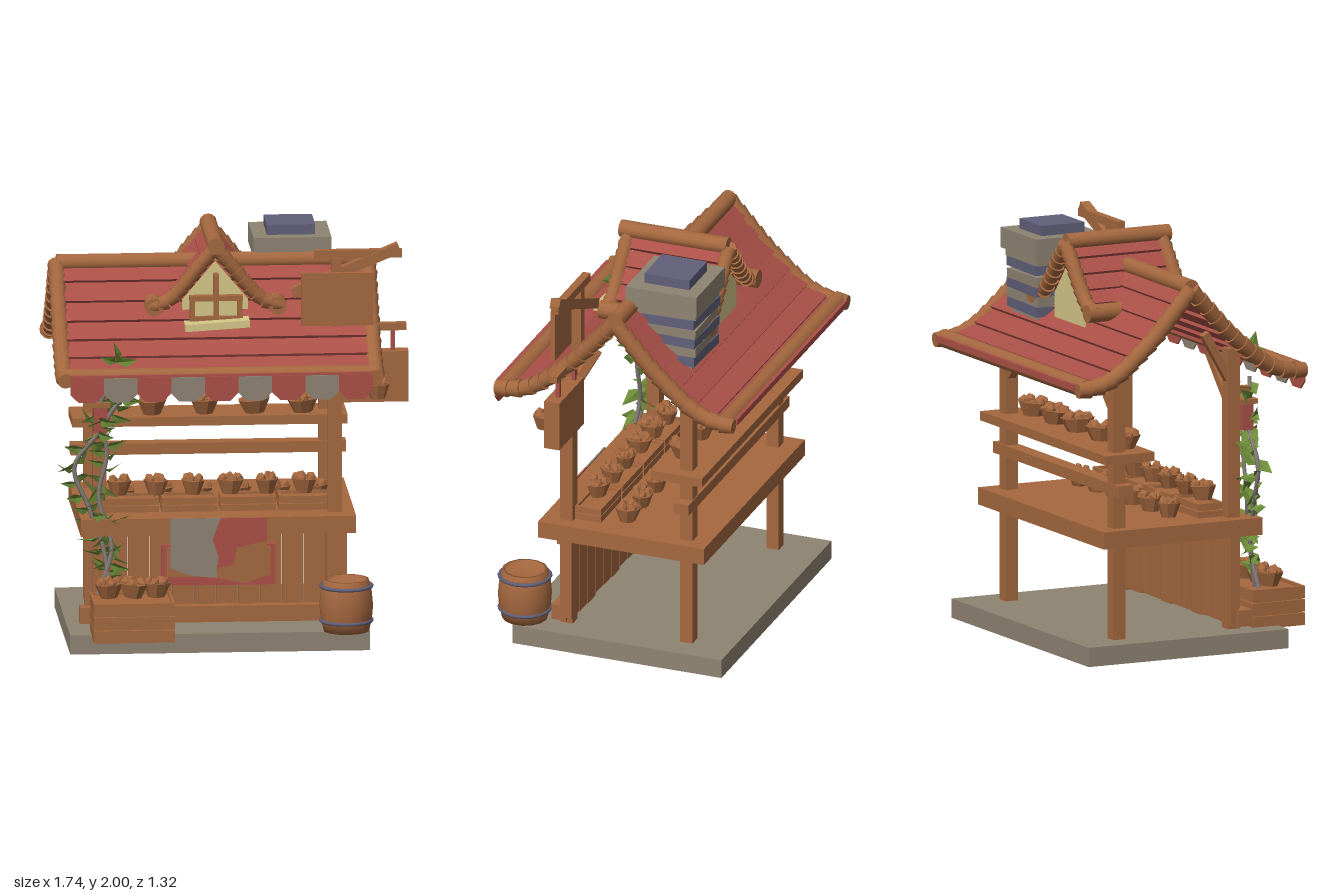
import * as THREE from 'three';

const V = (x, y, z) => new THREE.Vector3(x, y, z);
const CX = -0.07, CZ = -0.035; // middle of the stall

export function createModel() {
  const root = new THREE.Group();
  root.name = 'marketStall';
  const mat = (name, color, extra = {}) => {
    const m = new THREE.MeshStandardMaterial({ color, ...extra });
    m.name = name;
    return m;
  };
  const wood = mat('wood', 0xa5683f), red = mat('roofRed', 0xab5048), stone = mat('stone', 0x8f8473);
  const slate = mat('slate', 0x61607a), pale = mat('paleYellow', 0xd6c888);
  const leafMat = mat('leafGreen', 0x6c8c38, { side: THREE.DoubleSide });
  const stemMat = mat('stemGrey', 0x857b78);

  let seed = 7;
  const rnd = () => (seed = (seed * 16807) % 2147483647) / 2147483647;

  const add = (name, geo, m) => {
    const mesh = new THREE.Mesh(geo, m);
    mesh.name = name;
    root.add(mesh);
    return mesh;
  };
  const box = (name, m, x0, x1, y0, y1, z0, z1) => {
    const b = add(name, new THREE.BoxGeometry(x1 - x0, y1 - y0, z1 - z0), m);
    b.position.set((x0 + x1) / 2, (y0 + y1) / 2, (z0 + z1) / 2);
    return b;
  };
  // Square bar from a to b, w wide and h thick
  const bar = (name, m, a, b, w, h) => {
    const s = add(name, new THREE.BoxGeometry(w, h, a.distanceTo(b)), m);
    s.position.copy(a).lerp(b, 0.5);
    s.lookAt(b);
    return s;
  };
  // Round log from a to b
  const log = (name, m, a, b, r0, r1 = r0) => {
    const s = add(name, new THREE.CylinderGeometry(r1, r0, a.distanceTo(b), 12), m);
    s.position.copy(a).lerp(b, 0.5);
    s.quaternion.setFromUnitVectors(V(0, 1, 0), b.clone().sub(a).normalize());
    return s;
  };
  // Ribbed trim made of short overlapping flared rolls
  const ribbed = (name, curve, n, r) => {
    const p = curve.getSpacedPoints(n);
    for (let i = 0; i < n; i++) log(name, wood, p[i + 1], p[i], r * 0.8, r);
  };
  const plate = (name, m, pts, z, depth = 0.008) => {
    const s = new THREE.Shape(pts.map(([x, y]) => new THREE.Vector2(x, y)));
    const p = add(name, new THREE.ExtrudeGeometry(s, { depth, bevelEnabled: false }), m);
    p.position.z = z;
    return p;
  };

  // Base and posts
  box('base', stone, -0.8, 0.66, 0, 0.095, -0.58, 0.51);
  for (const x of [-0.643, 0.503]) {
    box('frontPost', wood, x - 0.033, x + 0.033, 0.095, 1.48, 0.245, 0.31);
    box('backPost', wood, x - 0.033, x + 0.033, 0.095, 1.48, -0.38, -0.315);
    const s = Math.sign(CX - x);
    for (const z of [0.277, -0.347]) {
      bar('brace', wood, V(x, 1.19, z), V(x + s * 0.22, 1.42, z), 0.04, 0.04);
      bar('rafterBrace', wood, V(x, 1.3, z), V(x, 1.56, z > 0 ? 0.13 : -0.2), 0.04, 0.04);
    }
  }

  // Counter, back shelf and front panelling
  box('counterTop', wood, -0.74, 0.6, 0.56, 0.645, -0.465, 0.4);
  box('backRail', wood, -0.74, 0.6, 0.81, 0.865, -0.385, -0.305);
  box('shelf', wood, -0.74, 0.6, 0.975, 1.02, -0.455, -0.19);
  box('bottomRail', wood, -0.74, 0.56, 0.115, 0.195, 0.27, 0.345);
  for (let i = 0; i < 12; i++) {
    const x = -0.715 + i * 0.107;
    box('panelPlank', wood, x, x + 0.1, 0.12 + (i % 3) * 0.006, 0.56, 0.24, 0.285 + (i % 2) * 0.012);
  }

  // Main roof: curved courses, ribbed gable trim, ridge and eave logs
  const roofPts = [[0, 1.82], [0.1, 1.71], [0.2, 1.6], [0.3, 1.51], [0.4, 1.43], [0.5, 1.385], [0.62, 1.375]];
  for (const s of [1, -1]) {
    const curveAt = x => new THREE.CatmullRomCurve3(roofPts.map(([u, y]) => V(x, y, CZ + s * u)));
    const p = curveAt(CX).getSpacedPoints(7);
    for (let i = 0; i < 7; i++) {
      const low = p[i + 1].clone().add(V(0, 0.012, s * 0.01));
      bar('roofCourse', red, p[i], low, 1.46, 0.03);
    }
    ribbed('gableTrim', curveAt(-0.828), 12, 0.045);
    ribbed('gableTrim', curveAt(0.686), 12, 0.045);
    const z = CZ + s * 0.572;
    log('eaveLog', wood, V(-0.83, 1.38, z), V(0.685, 1.38, z), 0.045);
  }
  log('ridgeLog', wood, V(-0.83, 1.83, CZ), V(-0.14, 1.83, CZ), 0.042);
  log('ridgeLog', wood, V(0, 1.83, CZ), V(0.685, 1.83, CZ), 0.042);

  // Striped valance with clipped corners
  for (let i = 0; i < 9; i++) {
    const x = -0.805 + i * 0.1635, w = 0.1635;
    plate('valance', i % 2 ? stone : red,
      [[x, 1.39], [x, 1.31], [x + 0.04, 1.27], [x + w - 0.04, 1.27], [x + w, 1.31], [x + w, 1.39]], 0.592);
  }

  // Dormer across the ridge
  const dormPts = [[0, 1.94], [0.08, 1.85], [0.16, 1.75], [0.24, 1.675], [0.33, 1.655]];
  for (const s of [1, -1]) {
    const curveAt = z => new THREE.CatmullRomCurve3(dormPts.map(([u, y]) => V(CX + s * u, y, z)));
    const p = curveAt(-0.07).getSpacedPoints(5);
    for (let i = 0; i < 4; i++) bar('dormerCourse', red, p[i], p[i + 1].clone().add(V(0, 0.01, 0)), 0.5, 0.025);
    ribbed('dormerTrim', curveAt(0.19), 9, 0.04);
    ribbed('dormerTrim', curveAt(-0.33), 9, 0.04);
    const x = CX + s * 0.3;
    log('dormerEaveLog', wood, V(x, 1.655, 0.085), V(x, 1.655, 0.22), 0.045);
    log('dormerEaveLog', wood, V(x, 1.655, -0.16), V(x, 1.655, -0.37), 0.045);
  }
  log('dormerRidge', wood, V(CX, 1.957, -0.33), V(CX, 1.957, 0.23), 0.042);
  for (const z of [0.16, -0.31])
    plate('dormerGable', pale, [[-0.23, 1.5], [0.09, 1.5], [0.09, 1.68], [CX, 1.87], [-0.23, 1.68]], z);
  // Dormer window frame and sill
  for (const x of [-0.185, CX, 0.045]) box('windowUpright', wood, x - 0.012, x + 0.012, 1.59, x === CX ? 1.82 : 1.7, 0.2, 0.245);
  for (const y of [1.6, 1.7]) box('windowCrossbar', wood, -0.2, 0.06, y - 0.012, y + 0.012, 0.2, 0.245);
  box('windowPane', pale, -0.185, 0.045, 1.59, 1.7, 0.215, 0.224);
  box('windowSill', pale, -0.225, 0.09, 1.56, 1.595, 0.16, 0.31).rotation.z = 0.06;

  // Chimney of uneven stone layers with a cap
  for (let i = 0; i < 7; i++) {
    const g = 0.145 + rnd() * 0.02;
    box('chimneyStone', i % 2 ? slate : stone, 0.32 - g, 0.32 + g, 1.5 + i * 0.05, 1.548 + i * 0.05, -0.21 - g, -0.21 + g)
      .rotation.set((rnd() - 0.5) * 0.08, (rnd() - 0.5) * 0.1, (rnd() - 0.5) * 0.08);
  }
  box('chimneyCap', stone, 0.13, 0.51, 1.84, 1.94, -0.39, -0.022);
  box('chimneyLid', slate, 0.2, 0.435, 1.94, 1.99, -0.325, -0.09);

  // Roof sign with its beams, and the hanging sign below
  box('roofSign', wood, 0.34, 0.69, 1.57, 1.83, 0.275, 0.3);
  box('roofSignPanel', wood, 0.36, 0.67, 1.59, 1.81, 0.3, 0.306);
  bar('signStrut', wood, V(0.3, 1.72, 0.225), V(0.82, 1.94, 0.225), 0.05, 0.05);
  box('signBeam', wood, 0.41, 0.835, 1.89, 1.93, 0.2, 0.24);
  box('signPost', wood, 0.49, 0.54, 1.5, 1.89, 0.2, 0.25);
  box('hangerBeam', wood, 0.5, 0.855, 1.53, 1.565, 0.2, 0.245);
  for (const x of [0.58, 0.79]) box('signRope', red, x - 0.01, x + 0.01, 1.42, 1.54, 0.21, 0.23);
  box('hangingSign', wood, 0.54, 0.865, 1.18, 1.43, 0.185, 0.265);

  // Bowls heaped with lumps
  const bowlGeo = new THREE.CylinderGeometry(0.085, 0.05, 0.07, 8).toNonIndexed();
  bowlGeo.computeVertexNormals();
  const lumpGeo = new THREE.IcosahedronGeometry(0.032, 0);
  const bowl = (x, y, z, k = 1) => {
    const b = new THREE.Group();
    b.name = 'filledBowl';
    const cup = new THREE.Mesh(bowlGeo, wood);
    cup.name = 'bowl';
    cup.position.y = 0.035;
    b.add(cup);
    for (let i = 0; i < 5; i++) {
      const l = new THREE.Mesh(lumpGeo, wood), a = i * 1.26 + rnd();
      l.name = 'produce';
      l.position.set(Math.cos(a) * 0.048, 0.07, Math.sin(a) * 0.048);
      l.rotation.set(rnd() * 3, rnd() * 3, 0);
      b.add(l);
    }
    b.position.set(x, y, z);
    b.rotation.set(0, rnd() * 3, (rnd() - 0.5) * 0.2);
    b.scale.set(k, 1, k * 0.8);
    root.add(b);
  };
  for (const x of [-0.58, -0.345, -0.09, 0.155, 0.39]) bowl(x, 1.02, -0.275);
  for (let i = 0; i < 6; i++) {
    bowl(-0.54 + i * 0.18, 0.72, 0.18, 0.8);
    bowl(-0.52 + i * 0.19, 0.645, 0, 0.85);
  }
  bowl(0.71, 1.21, 0.32, 0.8);

  // Slatted crates: four on the counter and a planter on the ground
  const crate = (name, x0, x1, y0, y1, z0, z1, rows) => {
    const h = (y1 - y0) / rows, t = 0.015;
    for (let i = 0; i < rows; i++) {
      const a = y0 + i * h, b = a + h - 0.006;
      box(name + 'Slat', wood, x0, x1, a, b, z1 - t, z1);
      box(name + 'Slat', wood, x0, x1, a, b, z0, z0 + t);
      box(name + 'Slat', wood, x0, x0 + t, a, b, z0 + t, z1 - t);
      box(name + 'Slat', wood, x1 - t, x1, a, b, z0 + t, z1 - t);
    }
    box(name + 'Fill', wood, x0 + t, x1 - t, y0, y1 - 0.02, z0 + t, z1 - t);
  };
  for (let i = 0; i < 4; i++) crate('crate', -0.62 + i * 0.285, -0.35 + i * 0.285, 0.645, 0.72, 0.11, 0.25, 2);
  crate('planter', -0.695, -0.3, 0.085, 0.285, 0.37, 0.655, 3);
  for (let i = 0; i < 3; i++) bowl(-0.61 + i * 0.115, 0.28, 0.5, 0.9);

  // Barrel with hoops
  const stave = [[0, 0], [0.112, 0], [0.126, 0.06], [0.132, 0.128], [0.126, 0.195], [0.112, 0.255], [0.098, 0.255], [0.098, 0.235], [0, 0.235]];
  add('barrel', new THREE.LatheGeometry(stave.map(([r, y]) => new THREE.Vector2(r, y)), 14), wood).position.set(0.545, 0.097, 0.49);
  for (const y of [0.15, 0.32]) {
    const hoop = add('barrelHoop', new THREE.TorusGeometry(0.125, 0.009, 6, 20), slate);
    hoop.rotation.x = Math.PI / 2;
    hoop.position.set(0.545, y, 0.49);
  }

  // Red framed board and patched cloth over the counter front
  box('boardFrame', red, -0.345, 0.21, 0.3, 0.5, 0.31, 0.35);
  box('boardFace', wood, -0.32, 0.185, 0.345, 0.49, 0.35, 0.358);
  plate('clothGrey', stone, [[-0.305, 0.645], [-0.305, 0.4], [-0.2, 0.36], [-0.08, 0.35], [-0.07, 0.45], [-0.1, 0.54], [-0.06, 0.645]], 0.405);
  plate('clothRed', red, [[-0.06, 0.645], [-0.1, 0.54], [-0.07, 0.45], [-0.08, 0.4], [0, 0.41], [0.02, 0.5], [0.165, 0.53], [0.165, 0.645]], 0.405);
  plate('clothBrown', wood, [[-0.08, 0.4], [-0.08, 0.35], [0.06, 0.32], [0.165, 0.36], [0.165, 0.53], [0.02, 0.5], [0, 0.41]], 0.405);

  // Small red lantern on the left post
  box('lantern', red, -0.675, -0.61, 1.07, 1.2, 0.325, 0.385);
  box('lanternCap', wood, -0.69, -0.595, 1.2, 1.225, 0.31, 0.4);
  box('lanternArm', wood, -0.66, -0.625, 1.25, 1.285, 0.28, 0.37);

  // Climbing vine: two stems and folded leaves
  const fold = new THREE.BufferGeometry();
  fold.setAttribute('position', new THREE.Float32BufferAttribute(
    [0, 0, 0, 0.028, 0.035, 0.012, 0, 0.045, 0, -0.028, 0.035, 0.012, 0, 0.1, -0.015], 3));
  fold.setIndex([0, 1, 2, 0, 2, 3, 2, 1, 4, 3, 2, 4]);
  const leafGeo = fold.toNonIndexed();
  leafGeo.computeVertexNormals();
  const leaf = (p, rx, rz) => {
    const l = add('leaf', leafGeo, leafMat);
    l.position.copy(p);
    l.rotation.set(rx, rnd() * 2 - 1, rz);
    l.scale.setScalar(0.85 + rnd() * 0.4);
  };
  const stems = [
    [V(-0.6, 0.28, 0.43), V(-0.63, 0.5, 0.39), V(-0.7, 0.7, 0.37), V(-0.77, 0.9, 0.36), V(-0.66, 1.06, 0.37), V(-0.57, 1.2, 0.37), V(-0.49, 1.28, 0.38)],
    [V(-0.66, 0.28, 0.42), V(-0.59, 0.5, 0.4), V(-0.65, 0.75, 0.36), V(-0.61, 0.98, 0.36), V(-0.66, 1.15, 0.37), V(-0.6, 1.32, 0.4)],
  ];
  for (const pts of stems) {
    const c = new THREE.CatmullRomCurve3(pts);
    add('vineStem', new THREE.TubeGeometry(c, 30, 0.011, 6), stemMat);
    for (let i = 0; i < 34; i++) {
      const side = i % 2 ? 1 : -1;
      leaf(c.getPoint(0.08 + (i / 34) * 0.92), 0.3 + rnd() * 0.9, side * (1 + rnd() * 1.3));
    }
  }
  for (const a of [-1.2, 0, 1.1]) leaf(V(-0.57, 1.43, 0.42), 0.3, a);

  return root;
}
